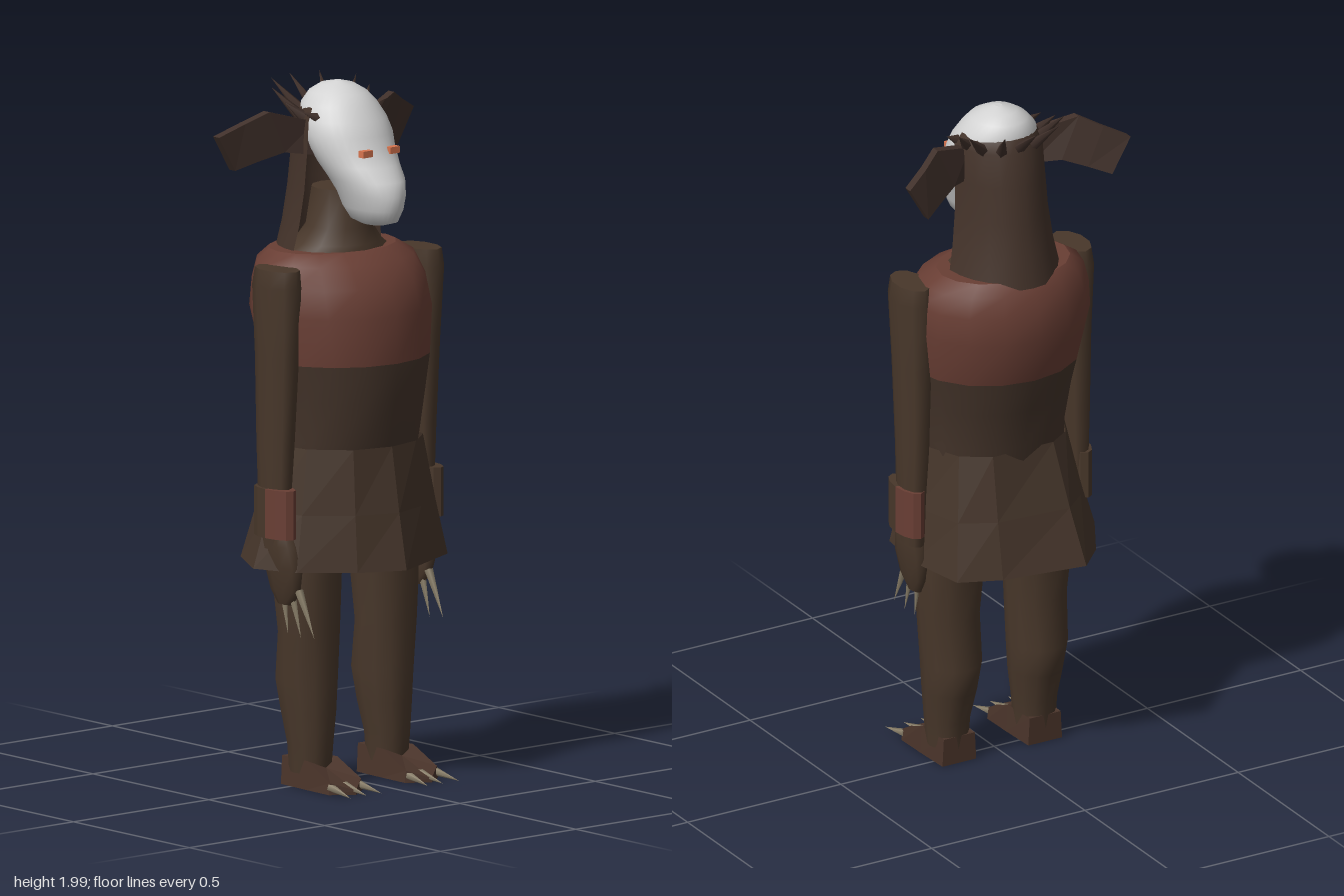
import * as THREE from 'three';

const mat = (name, color, double) => {
  const m = new THREE.MeshStandardMaterial({ color });
  m.name = name;
  if (double) m.side = THREE.DoubleSide;
  return m;
};

// Skin through rings of points listed upwards, each ring running from front (+z) towards +x
function loft(rings, { open = false, caps = true, flat = false } = {}) {
  const n = rings[0].length, pos = rings.flat(2), idx = [];
  for (let i = 0; i < rings.length - 1; i++) {
    for (let j = 0; j < (open ? n - 1 : n); j++) {
      const k = (j + 1) % n, a = i * n + j, b = i * n + k;
      idx.push(a, b, b + n, a, b + n, a + n);
    }
  }
  if (caps && !open) {
    [rings[0], rings[rings.length - 1]].forEach((r, end) => {
      const base = pos.length / 3;
      const mid = [0, 1, 2].map(c => r.reduce((s, p) => s + p[c], 0) / n);
      pos.push(...r.flat(), ...mid);
      for (let j = 0; j < n; j++) {
        const k = (j + 1) % n;
        idx.push(base + n, base + (end ? j : k), base + (end ? k : j));
      }
    });
  }
  let g = new THREE.BufferGeometry();
  g.setAttribute('position', new THREE.Float32BufferAttribute(pos, 3));
  g.setIndex(idx);
  if (flat) g = g.toNonIndexed();
  g.computeVertexNormals();
  return g;
}

// Elliptical ring: height, half width, back z, front z, centre x
function ring([y, rx, z0, z1, cx = 0], n, from = 0, to = Math.PI * 2) {
  const open = to - from < 6;
  return Array.from({ length: n }, (_, i) => {
    const t = from + (to - from) * i / (open ? n - 1 : n);
    return [cx + rx * Math.sin(t), y, (z0 + z1) / 2 + (z1 - z0) / 2 * Math.cos(t)];
  });
}
const body = (sections, n, opts) => loft(sections.map(s => ring(s, n)), opts);

export function createModel() {
  const root = new THREE.Group();
  const skin = mat('dark brown hide', 0x48372a);
  const cloth = mat('brown cloth', 0x45352a, true);
  const belly = mat('brown undershirt', 0x44342a);
  const red = mat('russet leather', 0x693e34);
  const hairMat = mat('dark hair', 0x44332a, true);
  const hornMat = mat('dark horn', 0x40302a);
  const bone = mat('pale mask', 0xd2d2d2);
  const claw = mat('claw', 0x8d826c);
  const eyeMat = mat('orange eye', 0xd8754f);
  const footMat = mat('foot brown', 0x4a342a);

  const add = (name, geo, material) => {
    const m = new THREE.Mesh(geo, material);
    m.name = name;
    root.add(m);
    return m;
  };
  const spike = (name, a, b, r, material) => {
    const p = new THREE.Vector3(...a), q = new THREE.Vector3(...b), d = q.clone().sub(p);
    const m = add(name, new THREE.ConeGeometry(r, d.length(), 5), material);
    m.position.copy(p).add(q).multiplyScalar(0.5);
    m.quaternion.setFromUnitVectors(new THREE.Vector3(0, 1, 0), d.normalize());
  };

  // Torso
  add('belly', body([[0.74, 0.17, -0.12, 0.11], [0.85, 0.21, -0.15, 0.16], [1.0, 0.215, -0.165, 0.2],
    [1.12, 0.23, -0.195, 0.22], [1.225, 0.25, -0.222, 0.23]], 16), belly);
  add('chest', body([[1.225, 0.25, -0.222, 0.23], [1.36, 0.27, -0.258, 0.228], [1.44, 0.265, -0.245, 0.2],
    [1.5, 0.245, -0.23, 0.155], [1.53, 0.2, -0.2, 0.1]], 16), red);
  add('neck', body([[1.51, 0.185, -0.19, 0.1], [1.545, 0.13, -0.15, 0.09], [1.59, 0.095, -0.12, 0.075],
    [1.7, 0.08, -0.1, 0.06]], 12), skin);

  // Uneven skirt hem, running from the front point round the left side
  const hem = [[0, 0.27], [0.12, 0.215], [0.25, 0.155], [0.265, 0], [0.23, -0.185], [0.11, -0.235],
    [-0.14, -0.272], [-0.22, -0.19], [-0.31, -0.03], [-0.26, 0.1], [-0.13, 0.21]];
  const skirtRing = (y, f) => hem.map(([x, z]) => {
    const t = Math.atan2(x, z);
    const wx = 0.225 * Math.sin(t), wz = 0.017 + 0.19 * Math.cos(t);
    return [wx + (x - wx) * f, y, wz + (z - wz) * f];
  });
  add('skirt', loft([skirtRing(0.64, 1), skirtRing(0.8, 0.5), skirtRing(0.985, 0)],
    { caps: false, flat: true }), cloth);

  // Mask
  const mask = [[1.612, 0.025, 0.08, 0.17], [1.625, 0.05, 0.045, 0.215], [1.66, 0.066, 0.015, 0.232],
    [1.7, 0.08, 0, 0.235], [1.74, 0.095, -0.03, 0.222], [1.78, 0.11, -0.06, 0.185], [1.82, 0.122, -0.085, 0.155],
    [1.86, 0.129, -0.11, 0.14], [1.9, 0.124, -0.128, 0.118], [1.94, 0.106, -0.13, 0.088],
    [1.97, 0.08, -0.112, 0.06], [1.99, 0.048, -0.08, 0.022], [2.0, 0.01, -0.035, -0.01]];
  add('mask', body(mask, 32), bone);

  // Hair curtain, open at the face
  const hair = [[1.5, 0.168, -0.222, 0.17], [1.6, 0.148, -0.2, 0.17], [1.7, 0.136, -0.185, 0.17],
    [1.8, 0.132, -0.172, 0.17], [1.9, 0.13, -0.152, 0.16], [1.935, 0.11, -0.13, 0.12]];
  const arc = Math.PI * 0.51;
  add('hair', loft(hair.map(s => ring(s, 13, arc, Math.PI * 2 - arc)), { open: true }), hairMat);

  // Crown of thorns: base x, z then tip x, y, z
  [[0, -0.13, 0, 1.99, -0.237], [0.05, -0.125, 0.09, 1.99, -0.213], [-0.05, -0.125, -0.088, 1.99, -0.213],
    [0.09, -0.09, 0.165, 1.98, -0.14], [-0.1, -0.08, -0.147, 1.98, -0.142], [0.11, -0.04, 0.162, 1.96, -0.08],
    [-0.115, -0.04, -0.16, 1.95, -0.07], [0.11, 0.005, 0.157, 1.93, -0.003], [-0.1, 0.015, -0.155, 1.93, 0.002]]
    .forEach(([bx, bz, x, y, z]) => spike('crownThorn', [bx, 1.905, bz], [x, y, z], 0.018, hornMat));

  for (const s of [1, -1]) {
    const limb = (sections) => sections.map(([y, rx, z0, z1, cx]) => [y, rx, z0, z1, s * cx]);

    // Eye
    add('eye', new THREE.BoxGeometry(0.035, 0.019, 0.02), eyeMat).position.set(s * 0.05, 1.82, 0.152);

    // Flat, bent horn: x, bottom y, top y, z of each station
    const stations = [[0.1, 0.1, 1.8, 1.895, -0.02], [0.175, 0.23, 1.81, 1.932, -0.065],
      [0.24, 0.29, 1.787, 1.9, -0.1], [0.3, 0.36, 1.763, 1.865, -0.132]];
    const box = new THREE.BoxGeometry(1, 1, 1, 3, 1, 1), p = box.attributes.position;
    for (let i = 0; i < p.count; i++) {
      const [xb, xt, yb, yt, z] = stations[Math.round((0.5 + s * p.getX(i)) * 3)];
      const top = p.getY(i) > 0;
      p.setXYZ(i, s * (top ? xt : xb), top ? yt : yb, z + p.getZ(i) * 0.026);
    }
    const horn = box.toNonIndexed();
    horn.computeVertexNormals();
    add('horn', horn, hornMat);

    // Arm, cuff and hand
    add('arm', body(limb([[0.7, 0.028, -0.04, 0.06, 0.262], [0.85, 0.034, -0.05, 0.07, 0.265],
      [1.0, 0.04, -0.058, 0.078, 0.262], [1.25, 0.048, -0.062, 0.092, 0.261], [1.45, 0.054, -0.068, 0.103, 0.264],
      [1.5, 0.048, -0.062, 0.098, 0.262]]), 10), skin);
    const cuff = [[0.735, 0.037, -0.058, 0.1, s * 0.273], [0.875, 0.037, -0.058, 0.1, s * 0.273]];
    [[-0.5, red], [0.5, skin]].forEach(([h, m]) => {
      const mid = Math.PI * (s > 0 ? 0.5 - h : 0.5 + h);
      const half = cuff.map(c => ring(c, 7, mid - Math.PI / 2, mid + Math.PI / 2));
      half.forEach(r => r.unshift([s * 0.273, r[0][1], 0.02]));
      add('cuff', loft(half, { flat: true }), m);
    });
    add('hand', body(limb([[0.54, 0.016, 0.0, 0.06, 0.24], [0.58, 0.026, -0.025, 0.09, 0.244],
      [0.65, 0.034, -0.042, 0.105, 0.25], [0.71, 0.033, -0.035, 0.09, 0.257], [0.75, 0.026, -0.03, 0.07, 0.26]]), 10), skin);
    [[0.085, 0.15, 0.455], [0.05, 0.092, 0.45], [0.015, 0.036, 0.455]].forEach(([z0, z1, y]) =>
      spike('fingerClaw', [s * 0.24, 0.585, z0], [s * 0.238, y, z1], 0.013, claw));

    // Leg
    add('leg', body(limb([[0.05, 0.058, -0.045, 0.085, 0.142], [0.13, 0.064, -0.05, 0.09, 0.142],
      [0.22, 0.076, -0.075, 0.096, 0.14], [0.31, 0.084, -0.097, 0.1, 0.14], [0.45, 0.09, -0.072, 0.1, 0.142],
      [0.6, 0.1, -0.09, 0.104, 0.143], [0.82, 0.1, -0.1, 0.1, 0.13]]), 12), skin);

    // Wedge foot with toe claws
    const sole = [[0, 0.215], [0.062, 0.17], [0.06, 0.07], [0.055, -0.045], [-0.055, -0.045], [-0.06, 0.07], [-0.062, 0.17]];
    const footRing = (f, k) => sole.map(([x, z]) =>
      [s * 0.14 + x * k, f ? Math.min(0.09, 0.09 - (z - 0.07) * 0.48) : 0.008, z]);
    add('foot', loft([footRing(0, 1), footRing(1, 0.92)], { flat: true }), footMat);
    [-0.055, 0, 0.06].forEach(x =>
      spike('toeClaw', [s * (0.14 + x * 0.85), 0.028, 0.165], [s * (0.14 + x), 0.012, 0.262], 0.013, claw));
  }
  return root;
}
